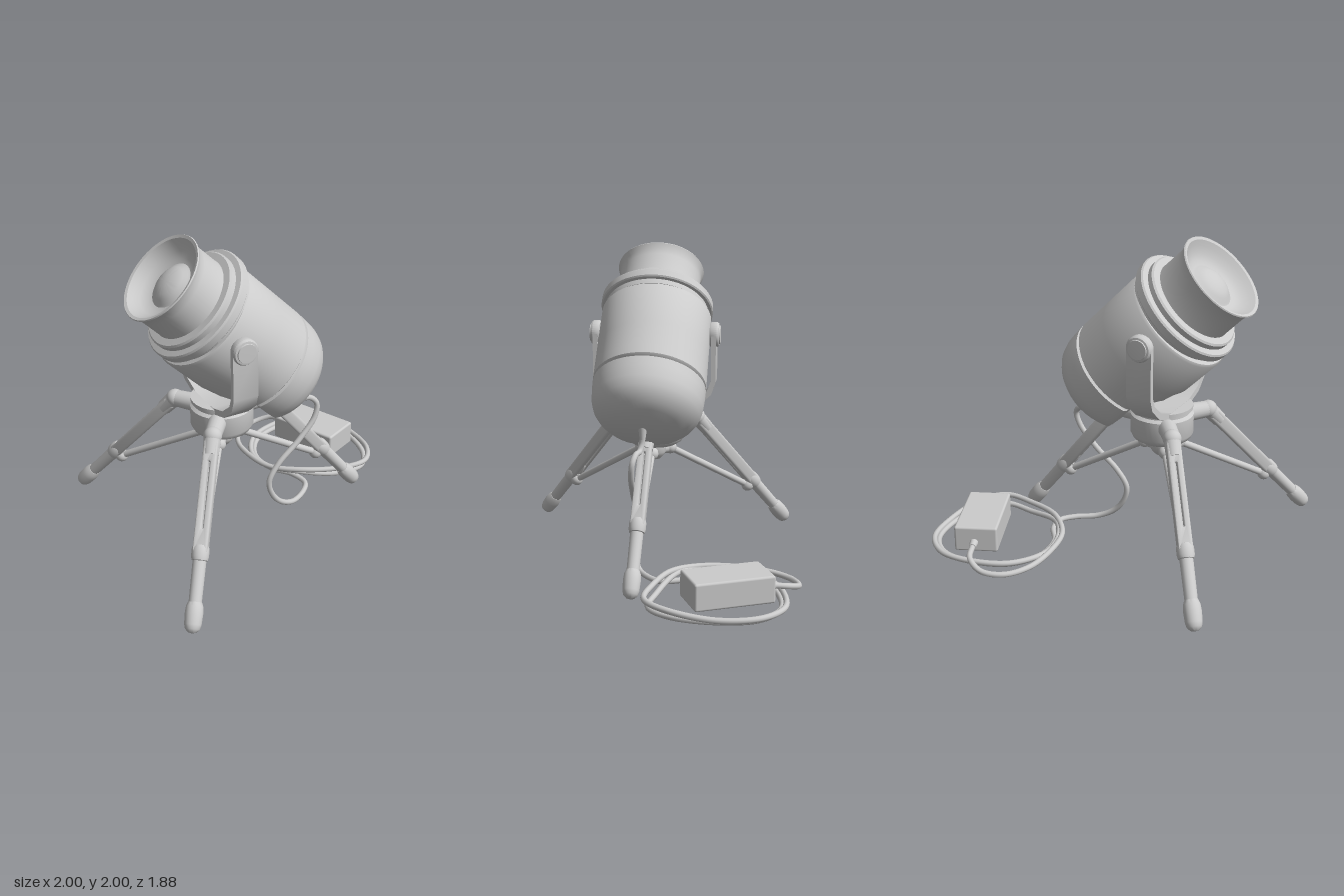
import * as THREE from 'three';
import { toCreasedNormals } from 'three/addons/utils/BufferGeometryUtils.js';
import { RoundedBoxGeometry } from 'three/addons/geometries/RoundedBoxGeometry.js';

const grey = new THREE.MeshStandardMaterial({ color: 0xcccccc });
const V = (x, y, z) => new THREE.Vector3(x, y, z);
const Z0 = 0.02; // symmetry plane of lamp and tripod

function add(parent, name, geometry, x = 0, y = 0, z = 0) {
  const mesh = new THREE.Mesh(geometry, grey);
  mesh.name = name;
  mesh.position.set(x, y, z);
  parent.add(mesh);
  return mesh;
}

// Turned part from [radius, height] pairs, bottom to top
function lathe(points, segments = 64) {
  return new THREE.LatheGeometry(points.map(p => new THREE.Vector2(...p)), segments);
}
const crease = (g, a = 0.6) => toCreasedNormals(g, a);

// Round bar between two points
function rod(parent, name, a, b, r1, r2 = r1) {
  const mesh = add(parent, name, new THREE.CylinderGeometry(r2, r1, a.distanceTo(b), 20));
  mesh.position.copy(a).add(b).multiplyScalar(0.5);
  mesh.quaternion.setFromUnitVectors(V(0, 1, 0), b.clone().sub(a).normalize());
}

// Flatten the underside of the housing where it clears the tripod head
function flattenUnderside(g) {
  const p = g.attributes.position;
  for (let i = 0; i < p.count; i++) {
    const k = THREE.MathUtils.clamp((p.getY(i) - 0.85) / 0.22, 0, 1);
    p.setX(i, Math.max(p.getX(i), -0.235 - 0.13 * k));
  }
  g.computeVertexNormals();
  return g;
}

function buildLamp() {
  const lamp = new THREE.Group();
  lamp.name = 'lamp';
  lamp.position.set(0.55, 0.55, Z0);
  lamp.rotation.z = Math.PI / 4;

  add(lamp, 'rearCap', crease(flattenUnderside(lathe([
    [0, 0.5], [0.08, 0.503], [0.15, 0.515], [0.21, 0.533], [0.26, 0.56], [0.3, 0.595],
    [0.328, 0.635], [0.345, 0.69], [0.352, 0.76], [0.354, 0.82], [0.34, 0.828], [0.33, 0.84]]))));
  add(lamp, 'barrel', crease(flattenUnderside(lathe([
    [0.33, 0.828], [0.345, 0.835], [0.355, 0.845], [0.355, 0.9], [0.355, 0.95], [0.355, 1.0],
    [0.355, 1.08], [0.355, 1.37], [0.345, 1.385], [0.28, 1.39]]))));
  add(lamp, 'collar', crease(lathe([
    [0.3, 1.37], [0.335, 1.375], [0.335, 1.41], [0.355, 1.412], [0.363, 1.42], [0.363, 1.465],
    [0.355, 1.475], [0.32, 1.478], [0.32, 1.51], [0.31, 1.52], [0.25, 1.522]])), 0.02);
  // Front tube, flared lip, shallow reflector and domed lens in one profile
  add(lamp, 'frontTubeAndLens', crease(lathe([
    [0.27, 1.5], [0.265, 1.53], [0.264, 1.68], [0.268, 1.72], [0.284, 1.75], [0.28, 1.757],
    [0.262, 1.752], [0.24, 1.725], [0.21, 1.695], [0.175, 1.672], [0.145, 1.665], [0.132, 1.672],
    [0.11, 1.69], [0.08, 1.705], [0.04, 1.715], [0, 1.718]])), 0.02);
  return lamp;
}

function buildYoke() {
  const yoke = new THREE.Group();
  yoke.name = 'yoke';
  yoke.position.set(-0.35, 0, Z0);
  // U profile: outer edge, then back along the inner edge
  const outer = [[0.397, 1.43], [0.397, 1.13], [0.37, 1.05], [0.27, 0.96], [0.15, 0.92]];
  const inner = [[0.12, 0.95], [0.25, 0.995], [0.34, 1.07], [0.367, 1.14], [0.367, 1.43]];
  const flip = a => a.map(([z, y]) => [-z, y]).reverse();
  const outline = [...outer, ...flip(outer), ...flip(inner), ...inner];
  const shape = new THREE.Shape(outline.map(p => new THREE.Vector2(...p)));
  const g = new THREE.ExtrudeGeometry(shape, { depth: 0.16, bevelEnabled: false });
  g.translate(0, 0, -0.08).rotateY(Math.PI / 2);
  add(yoke, 'yokeStrap', crease(g));
  // Thick rounded ear with a flat pivot cap on each side
  for (const s of [1, -1]) {
    const ear = add(yoke, 'yokeEar', crease(lathe([
      [0, -0.02], [0.075, -0.02], [0.08, -0.01], [0.08, 0.025], [0.072, 0.037], [0.06, 0.039],
      [0.058, 0.046], [0, 0.047]], 36)), 0, 1.43, s * 0.375);
    ear.rotation.x = s * Math.PI / 2;
  }
  return yoke;
}

// Slotted upper section: long stadium with a slot along the middle
function slottedBar(length, w = 0.034, slot = 0.013) {
  const stadium = (path, r, a, b) => {
    path.absarc(0, b, r, 0, Math.PI, false);
    path.absarc(0, a, r, Math.PI, Math.PI * 2, false);
    path.closePath();
    return path;
  };
  const s = stadium(new THREE.Shape(), w, 0, length);
  s.holes.push(stadium(new THREE.Path(), slot, length * 0.2, length * 0.82));
  const g = new THREE.ExtrudeGeometry(s, {
    depth: 0.046, bevelSize: 0.01, bevelThickness: 0.016, bevelSegments: 3, curveSegments: 10 });
  return crease(g.translate(0, 0, -0.023), 0.7);
}

function buildLeg(foot, hub) {
  const leg = new THREE.Group();
  leg.name = 'leg';
  const clampAt = 0.4;
  const out = V(foot.x - hub.x, 0, foot.z - hub.z).normalize();
  const hip = hub.clone().addScaledVector(out, 0.325);
  const len = foot.distanceTo(hip);
  const barLen = len - clampAt - 0.07;
  const up = hip.clone().sub(foot).normalize();

  // Straight section in its own frame: y along the leg, z facing outward
  const shaft = new THREE.Group();
  shaft.name = 'legShaft';
  const face = out.clone().addScaledVector(up, -out.dot(up)).normalize();
  shaft.quaternion.setFromRotationMatrix(new THREE.Matrix4().makeBasis(up.clone().cross(face), up, face));
  shaft.position.copy(foot);
  add(shaft, 'rubberFoot', crease(lathe([
    [0, -0.05], [0.025, -0.044], [0.043, -0.026], [0.05, 0], [0.053, 0.06], [0.05, 0.1], [0.04, 0.125], [0, 0.125]], 24)));
  add(shaft, 'lowerTube', new THREE.CylinderGeometry(0.041, 0.038, 0.33, 20), 0, 0.255, 0);
  add(shaft, 'legClamp', crease(lathe([
    [0.03, -0.05], [0.047, -0.04], [0.052, -0.02], [0.052, 0.025], [0.044, 0.045], [0.03, 0.05]], 24)), 0, clampAt, 0);
  add(shaft, 'slottedUpperBar', slottedBar(barLen), 0, clampAt + 0.02, 0);
  add(shaft, 'innerRod', new THREE.CylinderGeometry(0.02, 0.02, barLen, 12), 0, clampAt + 0.02 + barLen / 2, -0.005);
  add(shaft, 'upperCollar', new THREE.CylinderGeometry(0.052, 0.048, 0.11, 20), 0, len - 0.06, 0);
  leg.add(shaft);

  // Hip knuckle reaching back to the tripod head
  add(leg, 'hipKnuckle', new THREE.SphereGeometry(0.056, 24, 16)).position.copy(hip);
  rod(leg, 'hipArm', hub.clone().addScaledVector(out, 0.12), hip, 0.06, 0.052);

  // Spreader brace from the lower hub to the clamp
  const inner = V(hub.x, 0.67, hub.z).addScaledVector(out, 0.12);
  const end = foot.clone().addScaledVector(up, clampAt).addScaledVector(face, -0.05);
  rod(leg, 'brace', inner, end, 0.022);
  for (const p of [inner, end]) add(leg, 'braceJoint', new THREE.SphereGeometry(0.042, 20, 14)).position.copy(p);
  rod(leg, 'spreaderArm', V(hub.x, 0.665, hub.z), inner, 0.034);
  return leg;
}

function buildTripod() {
  const tripod = new THREE.Group();
  tripod.name = 'tripod';
  const hub = V(-0.31, 0.855, Z0);
  add(tripod, 'head', crease(lathe([
    [0, 0.71], [0.14, 0.715], [0.18, 0.74], [0.195, 0.77], [0.195, 0.89], [0.175, 0.905],
    [0.175, 0.92], [0.19, 0.925], [0.19, 0.948], [0, 0.95]], 40)), hub.x, 0, hub.z);
  add(tripod, 'spreaderHub', crease(lathe([
    [0, 0.61], [0.04, 0.613], [0.06, 0.635], [0.075, 0.66], [0.075, 0.7], [0.05, 0.73], [0, 0.74]], 28)), hub.x, 0, hub.z);
  for (const foot of [V(-0.945, 0.06, 0.88), V(-0.945, 0.06, -0.82), V(0.655, 0.06, 0.04)])
    tripod.add(buildLeg(foot, hub));
  return tripod;
}

function buildPower() {
  const power = new THREE.Group();
  power.name = 'powerSupply';
  add(power, 'adapter', new RoundedBoxGeometry(0.27, 0.165, 0.49, 3, 0.014), 0.685, 0.128, -0.525).rotation.y = 0.42;
  rod(power, 'adapterStrainRelief', V(0.61, 0.11, -0.72), V(0.575, 0.105, -0.8), 0.03, 0.021);
  rod(power, 'lampStrainRelief', V(0.2, 0.94, 0.03), V(0.205, 0.86, 0.03), 0.028, 0.018);

  // Cable drops from the lamp to the floor
  const drop = [[0.205, 0.9, 0.03], [0.205, 0.83, 0.035], [0.23, 0.79, 0.045], [0.3, 0.785, 0.06], [0.34, 0.74, 0.075],
    [0.32, 0.65, 0.085], [0.2, 0.51, 0.09], [0.05, 0.38, 0.095], [-0.02, 0.27, 0.1], [0, 0.17, 0.1],
    [0.07, 0.08, 0.09], [0.18, 0.025, 0.06], [0.3, 0.018, -0.01], [0.37, 0.018, -0.1]];
  // Two laps around the adapter, the first slightly smaller and lower
  const loop = [[0.33, -0.21], [0.23, -0.36], [0.21, -0.56], [0.33, -0.76], [0.55, -0.85], [0.77, -0.85],
    [0.93, -0.72], [0.985, -0.48], [0.94, -0.2], [0.82, -0.06], [0.6, -0.075]];
  const laps = [0.94, 1].flatMap((s, lap) => loop.map(([x, z]) => [
    0.6 + (x - 0.6) * s, 0.022 + 0.018 * lap + 0.035 * lap * THREE.MathUtils.smoothstep(z, -0.5, -0.06), -0.45 + (z + 0.45) * s]));
  // Last sweep runs wide and rises into the adapter
  const sweep = [[0.37, 0.085, -0.165], [0.22, 0.07, -0.32], [0.172, 0.06, -0.53], [0.195, 0.045, -0.75],
    [0.29, 0.04, -0.89], [0.42, 0.05, -0.935], [0.53, 0.085, -0.89], [0.58, 0.105, -0.79]];
  const curve = new THREE.CatmullRomCurve3([...drop, ...laps, ...sweep].map(p => V(...p)));
  add(power, 'cable', new THREE.TubeGeometry(curve, 500, 0.018, 10));
  return power;
}

export function createModel() {
  const model = new THREE.Group();
  model.name = 'tripodLamp';
  model.add(buildLamp(), buildYoke(), buildTripod(), buildPower());
  return model;
}
